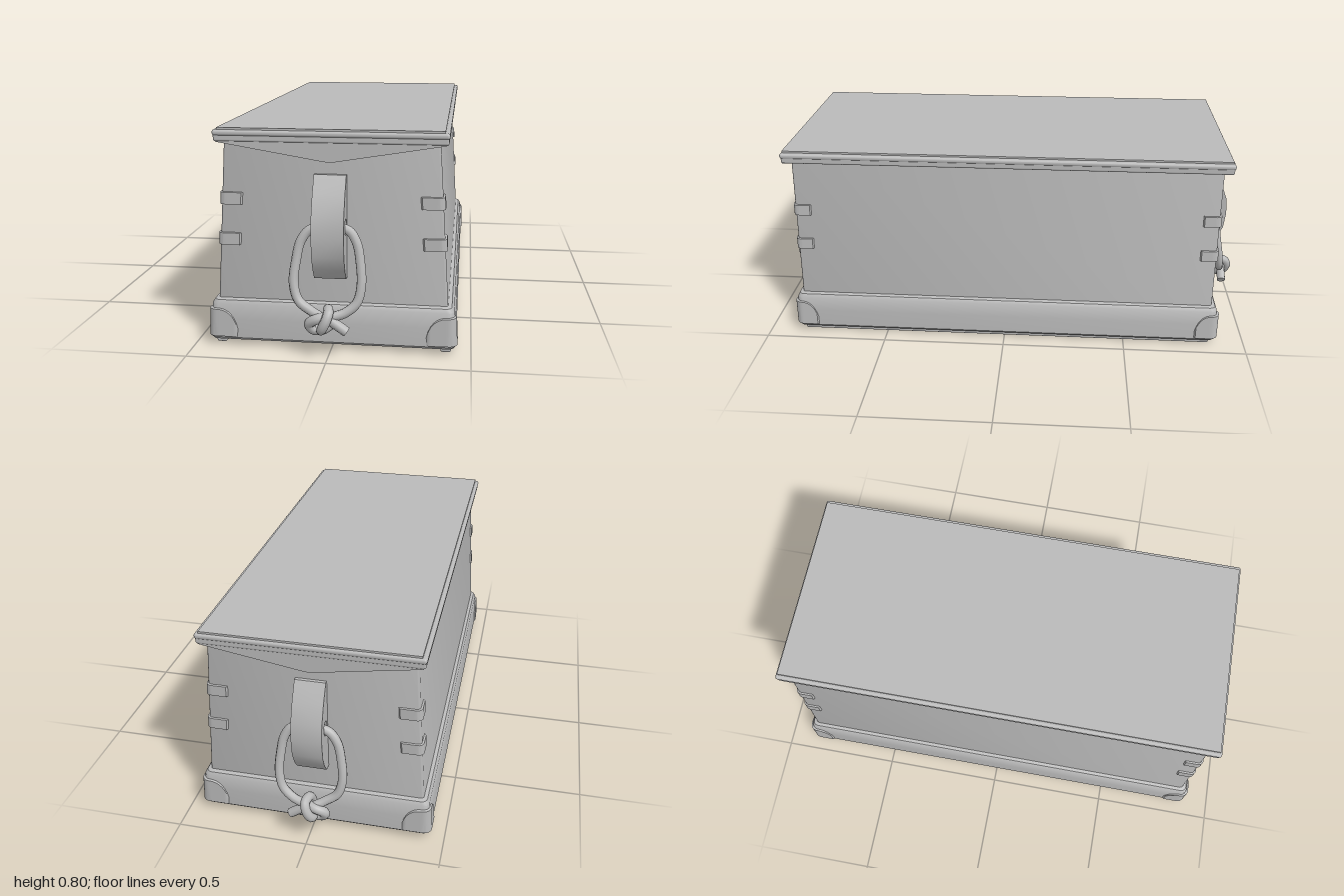
import * as THREE from 'three';
import { toCreasedNormals } from 'three/addons/utils/BufferGeometryUtils.js';
import { RoundedBoxGeometry } from 'three/addons/geometries/RoundedBoxGeometry.js';

const paint = new THREE.MeshStandardMaterial({ color: 0xbababa, side: THREE.DoubleSide });
paint.name = 'plain grey';

function part(parent, name, geometry) {
  const mesh = new THREE.Mesh(geometry, paint);
  mesh.name = name;
  parent.add(mesh);
  return mesh;
}

function surface(points, index, crease = 0.6) {
  const g = new THREE.BufferGeometry();
  g.setAttribute('position', new THREE.Float32BufferAttribute(points, 3));
  g.setIndex(index);
  return toCreasedNormals(g, crease);
}

// Closed solid through rounded rectangles; each level is [y, half width, half depth, corner radius]
function loft(levels, seg = 4) {
  const pts = [], idx = [], n = 4 * (seg + 1);
  for (const [y, hx, hz, r] of levels) {
    for (let c = 0; c < 4; c++) {
      const sx = c === 0 || c === 3 ? 1 : -1, sz = c < 2 ? 1 : -1;
      for (let k = 0; k <= seg; k++) {
        const a = (c + k / seg) * Math.PI / 2;
        pts.push(sx * (hx - r) + r * Math.cos(a), y, sz * (hz - r) + r * Math.sin(a));
      }
    }
  }
  const top = levels.length - 1, c0 = levels.length * n, c1 = c0 + 1;
  pts.push(0, levels[0][0], 0, 0, levels[top][0], 0);
  for (let i = 0; i < n; i++) {
    const j = (i + 1) % n;
    for (let l = 0; l < top; l++) {
      const a = l * n + i, b = l * n + j;
      idx.push(a, a + n, b + n, a, b + n, b);
    }
    idx.push(c0, i, j, c1, top * n + j, top * n + i);
  }
  return surface(pts, idx);
}

// Thin fitting wrapped round a vertical corner; topAt(t) gives its height, t = 0 at the corner, 1 at the ends
function cornerWrap(sx, sz, y0, topAt, lenX, lenZ, halfX, hz, r, lift) {
  const pts = [], idx = [], path = [], steps = 8;
  for (let i = 0; i <= steps; i++) path.push([0, 1 - i / steps]);
  for (let i = 1; i < 6; i++) path.push([i / 6, 0]);
  for (let i = 0; i <= steps; i++) path.push([1, i / steps]);
  path.forEach(([turn, t], i) => {
    const a = (1 - turn) * Math.PI / 2, y1 = topAt(t), end = i === 0 || i === path.length - 1;
    const along = turn === 0 ? [t * lenX, 0] : turn === 1 ? [0, t * lenZ] : [0, 0];
    for (const [y, off] of [[y0, -0.01], [y0, lift], [(y0 + y1) / 2, lift], [y1 - 0.004, lift], [y1, -0.01]]) {
      const o = r + (end ? -0.004 : off);
      pts.push(sx * (halfX(y) - r - along[0] + o * Math.cos(a)), y, sz * (hz - r - along[1] + o * Math.sin(a)));
    }
  });
  for (let i = 0; i < path.length - 1; i++) {
    for (let k = 0; k < 4; k++) {
      const a = i * 5 + k, b = a + 5;
      if (sx * sz > 0) idx.push(a, b, b + 1, a, b + 1, a + 1);
      else idx.push(a, b + 1, b, a, a + 1, b + 1);
    }
  }
  return surface(pts, idx, 0.8);
}

function rope(points, radius, closed = false) {
  const curve = new THREE.CatmullRomCurve3(points.map(p => new THREE.Vector3(...p)), closed);
  return new THREE.TubeGeometry(curve, points.length * 6, radius, 10, closed);
}

// Cleat, rope handle and knot for the front end
function handle() {
  const g = new THREE.Group();

  const profile = new THREE.Shape([
    [0.85, 0.27], [0.885, 0.27], [0.915, 0.31], [0.938, 0.36], [0.945, 0.43],
    [0.938, 0.5], [0.908, 0.575], [0.87, 0.64], [0.85, 0.64],
  ].map(p => new THREE.Vector2(...p)));
  const hole = new THREE.Path();
  hole.absellipse(0.889, 0.46, 0.022, 0.03, 0, Math.PI * 2, true);
  profile.holes.push(hole);
  const cleat = new THREE.ExtrudeGeometry(profile, { depth: 0.114, bevelEnabled: false, curveSegments: 8 });
  cleat.translate(0, 0, -0.057).rotateY(-Math.PI / 2);
  part(g, 'cleat', toCreasedNormals(cleat, 0.7));

  part(g, 'ropeLoop', rope([
    [-0.02, 0.15, 0.955], [-0.06, 0.168, 0.94], [-0.105, 0.2, 0.93], [-0.124, 0.26, 0.92],
    [-0.117, 0.34, 0.905], [-0.1, 0.41, 0.895], [-0.065, 0.45, 0.889], [0, 0.455, 0.888],
    [0.065, 0.45, 0.889], [0.095, 0.41, 0.895], [0.11, 0.34, 0.905], [0.115, 0.26, 0.92],
    [0.1, 0.2, 0.93], [0.06, 0.165, 0.94], [0.01, 0.15, 0.95],
  ], 0.017));

  // Knot: a band over the crossing, a loop to one side and a short tail
  part(g, 'knotBand', rope([
    [0, 0.175, 0.935], [0.006, 0.172, 0.97], [-0.002, 0.145, 0.984],
    [-0.018, 0.112, 0.975], [-0.018, 0.108, 0.935], [-0.005, 0.14, 0.91],
  ], 0.018, true));
  part(g, 'knotLoop', rope([
    [0.01, 0.15, 0.95], [-0.035, 0.147, 0.965], [-0.064, 0.125, 0.955],
    [-0.05, 0.102, 0.945], [-0.015, 0.105, 0.945], [0.015, 0.13, 0.94],
  ], 0.019, true));
  const tail = part(g, 'ropeTail', new THREE.CylinderGeometry(0.018, 0.018, 0.09, 10));
  tail.position.set(0.031, 0.127, 0.955);
  tail.rotation.z = 0.96;
  return g;
}

export function createModel() {
  const model = new THREE.Group();
  model.name = 'chest';

  // Tapered box
  part(model, 'body', loft([[0.15, 0.417, 0.857, 0.014], [0.77, 0.378, 0.857, 0.014]]));

  // Skirting with a recessed underside
  part(model, 'base', loft([
    [0.03, 0.385, 0.845, 0.004], [0.02, 0.395, 0.853, 0.006], [0.02, 0.438, 0.873, 0.02],
    [0.03, 0.446, 0.882, 0.025], [0.1, 0.443, 0.882, 0.025], [0.155, 0.438, 0.878, 0.025],
    [0.169, 0.429, 0.871, 0.022], [0.175, 0.412, 0.856, 0.016],
  ]));
  for (const s of [-1, 1]) {
    part(model, 'runner', new RoundedBoxGeometry(0.038, 0.035, 1.71, 3, 0.008)).position.set(s * 0.41, 0.0175, 0);
  }

  // Lid: lower edge, bead and top panel
  part(model, 'lidEdge', new RoundedBoxGeometry(0.816, 0.03, 1.776, 3, 0.008)).position.y = 0.766;
  part(model, 'lidBead', new RoundedBoxGeometry(0.822, 0.022, 1.784, 3, 0.01)).position.y = 0.782;
  part(model, 'lidPanel', new THREE.BoxGeometry(0.79, 0.016, 1.768)).position.y = 0.792;

  // Pointed apron under each end of the lid
  const apron = new THREE.Shape([
    [-0.4, 0.76], [-0.4, 0.75], [-0.02, 0.687], [0, 0.685], [0.02, 0.687], [0.4, 0.75], [0.4, 0.76],
  ].map(p => new THREE.Vector2(...p)));
  for (const s of [-1, 1]) {
    const g = new THREE.ExtrudeGeometry(apron, { depth: 0.035, bevelEnabled: false });
    part(model, 'lidApron', g).position.z = s * 0.8675 - 0.0175;
  }

  // Corner caps on the base and straps on the body
  const baseX = y => 0.4475 - 0.05 * y;
  const bodyX = y => 0.417 - 0.063 * (y - 0.15);
  const capTop = t => 0.035 + 0.106 * Math.sqrt(Math.max(0.04, 1 - Math.pow(t, 2.2)));
  for (const sx of [-1, 1]) {
    for (const sz of [-1, 1]) {
      part(model, 'cornerCap', cornerWrap(sx, sz, 0.035, capTop, 0.082, 0.07, baseX, 0.882, 0.025, 0.006));
      for (const y of [0.375, 0.523]) {
        part(model, 'cornerStrap', cornerWrap(sx, sz, y, () => y + 0.047, 0.066, 0.055, bodyX, 0.857, 0.014, 0.007));
      }
    }
  }

  // Handles, mirrored front to back
  for (const s of [1, -1]) {
    const h = handle();
    h.name = s > 0 ? 'frontHandle' : 'backHandle';
    h.scale.z = s;
    model.add(h);
  }
  return model;
}
